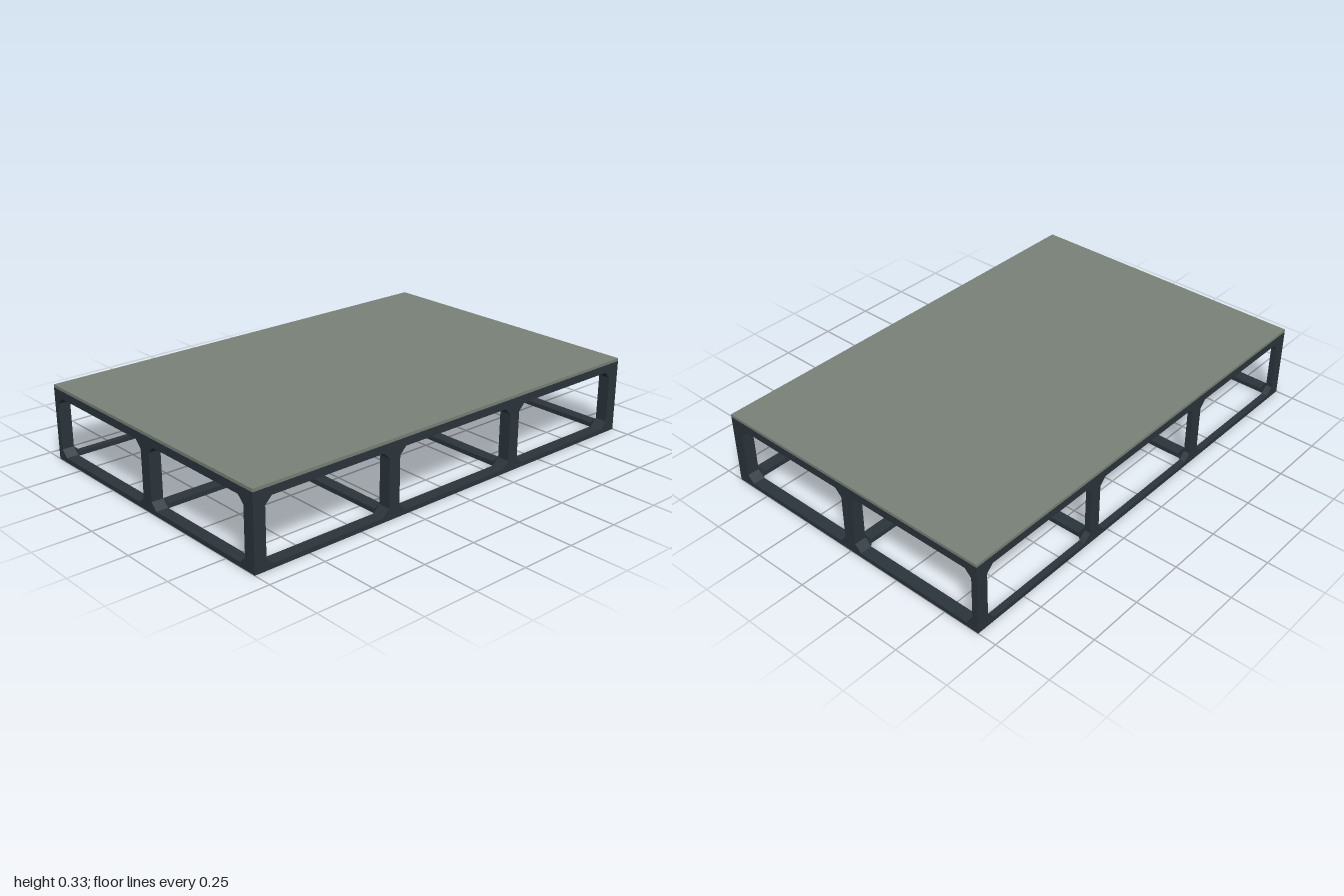
import * as THREE from 'three';
import { ConvexGeometry } from 'three/addons/geometries/ConvexGeometry.js';

const W = 0.667, L = 1, H = 0.333;        // half width, half length, height
const FLOOR = 0.02, CEIL = 0.285, DECK = 0.32;
const FLARE = 0.03;

// spans [from, to] of the beam lines across the width and the length
const X_LINES = [[-W, -0.64], [-0.027, 0.027], [0.613, W]];
const Z_LINES = [[-L, -0.947], [-0.36, -0.307], [0.307, 0.36], [0.947, L]];

export function createModel() {
  const model = new THREE.Group();
  const deckGrey = new THREE.MeshStandardMaterial({ color: 0x7a8278 });
  deckGrey.name = 'deckGrey';
  const frameSteel = new THREE.MeshStandardMaterial({ color: 0x2c353c });
  frameSteel.name = 'frameSteel';

  const add = (geometry, material, name) => {
    const mesh = new THREE.Mesh(geometry, material);
    mesh.name = name;
    model.add(mesh);
  };
  const box = (name, material, [x0, x1], [y0, y1], [z0, z1]) => {
    const g = new THREE.BoxGeometry(x1 - x0, y1 - y0, z1 - z0);
    g.translate((x0 + x1) / 2, (y0 + y1) / 2, (z0 + z1) / 2);
    add(g, material, name);
  };

  // flared joint: post square at one end, chamfered cross at the other
  const joint = (name, [x0, x1], [z0, z1], yPost, yBeam) => {
    const cx = (x) => THREE.MathUtils.clamp(x, -W, W);
    const cz = (z) => THREE.MathUtils.clamp(z, -L, L);
    const points = [];
    for (const x of [x0, x1]) {
      for (const z of [z0, z1]) {
        const fx = cx(x === x0 ? x - FLARE : x + FLARE);
        const fz = cz(z === z0 ? z - FLARE : z + FLARE);
        points.push(
          new THREE.Vector3(x, yPost, z),
          new THREE.Vector3(fx, yBeam, z),
          new THREE.Vector3(x, yBeam, fz)
        );
      }
    }
    const unique = points.filter((p, i) => points.findIndex((q) => q.equals(p)) === i);
    add(new ConvexGeometry(unique), frameSteel, name);
  };

  // deck slab
  box('deck', deckGrey, [-W, W], [DECK, H], [-L, L]);

  // lower and upper beam grids
  for (const [name, span] of [['lower', [0, FLOOR]], ['upper', [CEIL, DECK]]]) {
    for (const x of X_LINES) box(name + 'LongBeam', frameSteel, x, span, [-L, L]);
    for (const z of Z_LINES) box(name + 'CrossBeam', frameSteel, [-W, W], span, z);
  }

  // posts with flared joints at every crossing
  for (const x of X_LINES) {
    for (const z of Z_LINES) {
      box('post', frameSteel, x, [FLOOR, CEIL], z);
      joint('upperJoint', x, z, CEIL - FLARE, CEIL);
      joint('lowerJoint', x, z, FLOOR + FLARE, FLOOR);
    }
  }
  return model;
}
